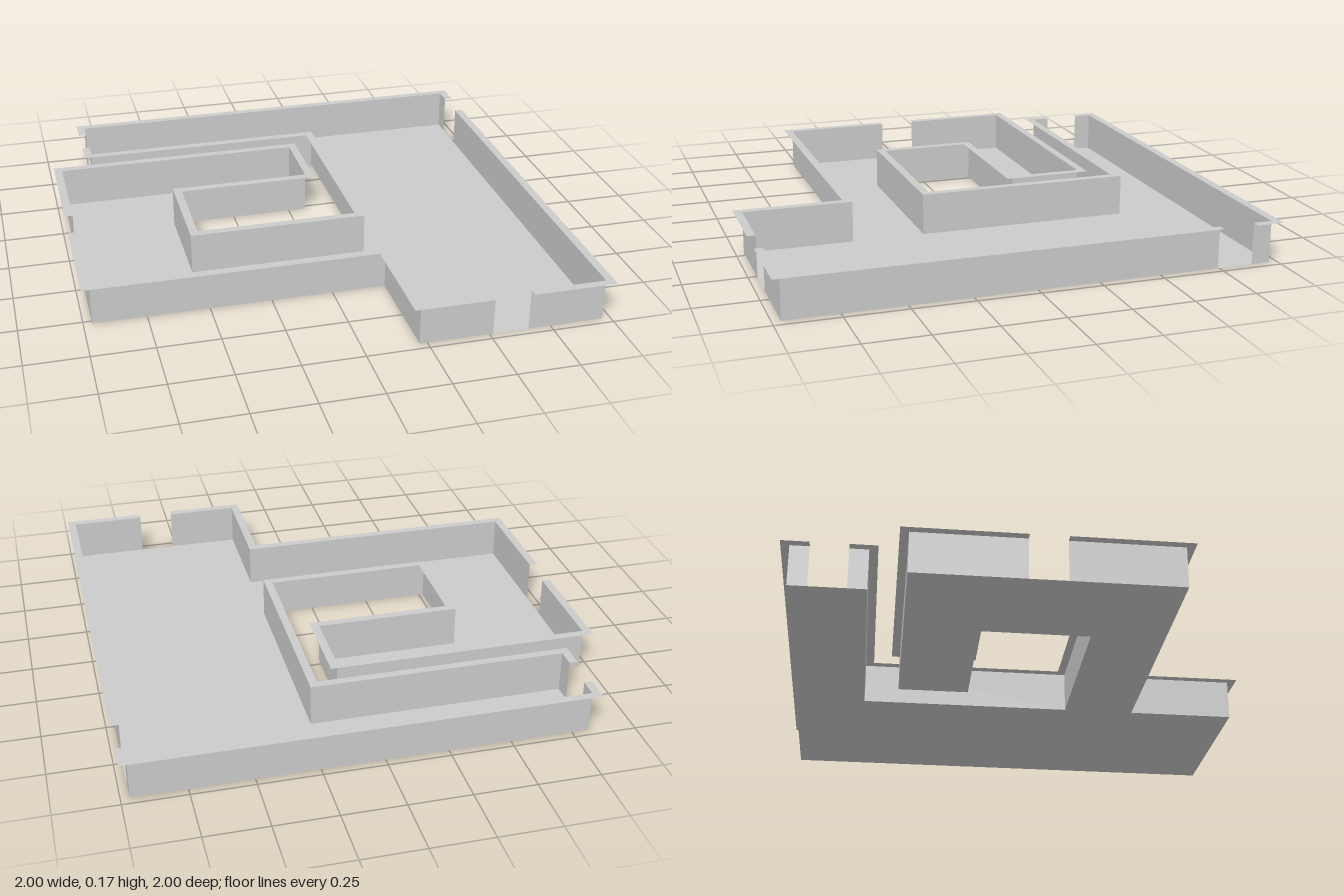
import * as THREE from 'three';

const H = 0.17;      // wall height
const LIP = 0.034;   // width of the flat rim around the wall tops

// Floor outline as [x, z], clockwise seen from above
const outline = [
  [-0.818, -0.966], [0.966, -0.966], [0.966, 0.966], [0.219, 0.966],
  [0.219, 0.518], [-0.966, 0.518], [-0.966, -0.524], [0.076, -0.524],
  [0.076, -0.225], [-0.518, -0.225], [-0.518, 0.219], [0.219, 0.219],
  [0.219, -0.668], [-0.818, -0.668],
].map(([x, z]) => new THREE.Vector2(x, z));

// Doorways: outline edge index -> opening range along x or z
const doors = { 1: [-0.89, -0.743], 2: [0.515, 0.66], 5: [-0.08, 0.07], 13: [-0.89, -0.743] };

const material = new THREE.MeshStandardMaterial({
  color: 0xcccccc, side: THREE.DoubleSide, flatShading: true,
});

// Flat four-cornered sheet, corners counter-clockwise from its front
function sheet(name, a, b, c, d) {
  const geometry = new THREE.BufferGeometry();
  geometry.setAttribute('position', new THREE.Float32BufferAttribute([...a, ...b, ...c, ...d], 3));
  geometry.setIndex([0, 1, 2, 0, 2, 3]);
  geometry.computeVertexNormals();
  const mesh = new THREE.Mesh(geometry, material);
  mesh.name = name;
  return mesh;
}

const at = (p, y) => [p.x, y, p.y];

export function createModel() {
  const model = new THREE.Group();
  model.name = 'floorPlan';

  // Floor
  const floor = new THREE.Mesh(new THREE.ShapeGeometry(new THREE.Shape(outline)), material);
  floor.geometry.rotateX(Math.PI / 2);
  floor.name = 'floor';
  model.add(floor);

  const walls = new THREE.Group();
  walls.name = 'walls';
  const rim = new THREE.Group();
  rim.name = 'rim';
  model.add(walls, rim);

  // Outward normal of every edge, and mitred rim corners
  const n = outline.length;
  const normals = outline.map((p, i) => {
    const d = outline[(i + 1) % n].clone().sub(p).normalize();
    return new THREE.Vector2(d.y, -d.x);
  });
  const outer = outline.map((p, i) =>
    p.clone().addScaledVector(normals[i], LIP).addScaledVector(normals[(i + n - 1) % n], LIP));

  // One wall and rim strip per edge, split in two by a doorway
  outline.forEach((a, i) => {
    const j = (i + 1) % n, b = outline[j];
    const add = (p, q, po, qo) => {
      walls.add(sheet('wall', at(p, 0), at(p, H), at(q, H), at(q, 0)));
      rim.add(sheet('rimStrip', at(p, H), at(q, H), at(qo, H), at(po, H)));
    };
    if (!doors[i]) return add(a, b, outer[i], outer[j]);

    const axis = Math.abs(b.x - a.x) > Math.abs(b.y - a.y) ? 'x' : 'y';
    const jambs = doors[i].map((v) => { const p = a.clone(); p[axis] = v; return p; });
    if (b[axis] < a[axis]) jambs.reverse();
    const [s, e] = jambs;
    const out = (p) => p.clone().addScaledVector(normals[i], LIP);
    add(a, s, outer[i], out(s));
    add(e, b, out(e), outer[j]);
  });

  return model;
}
